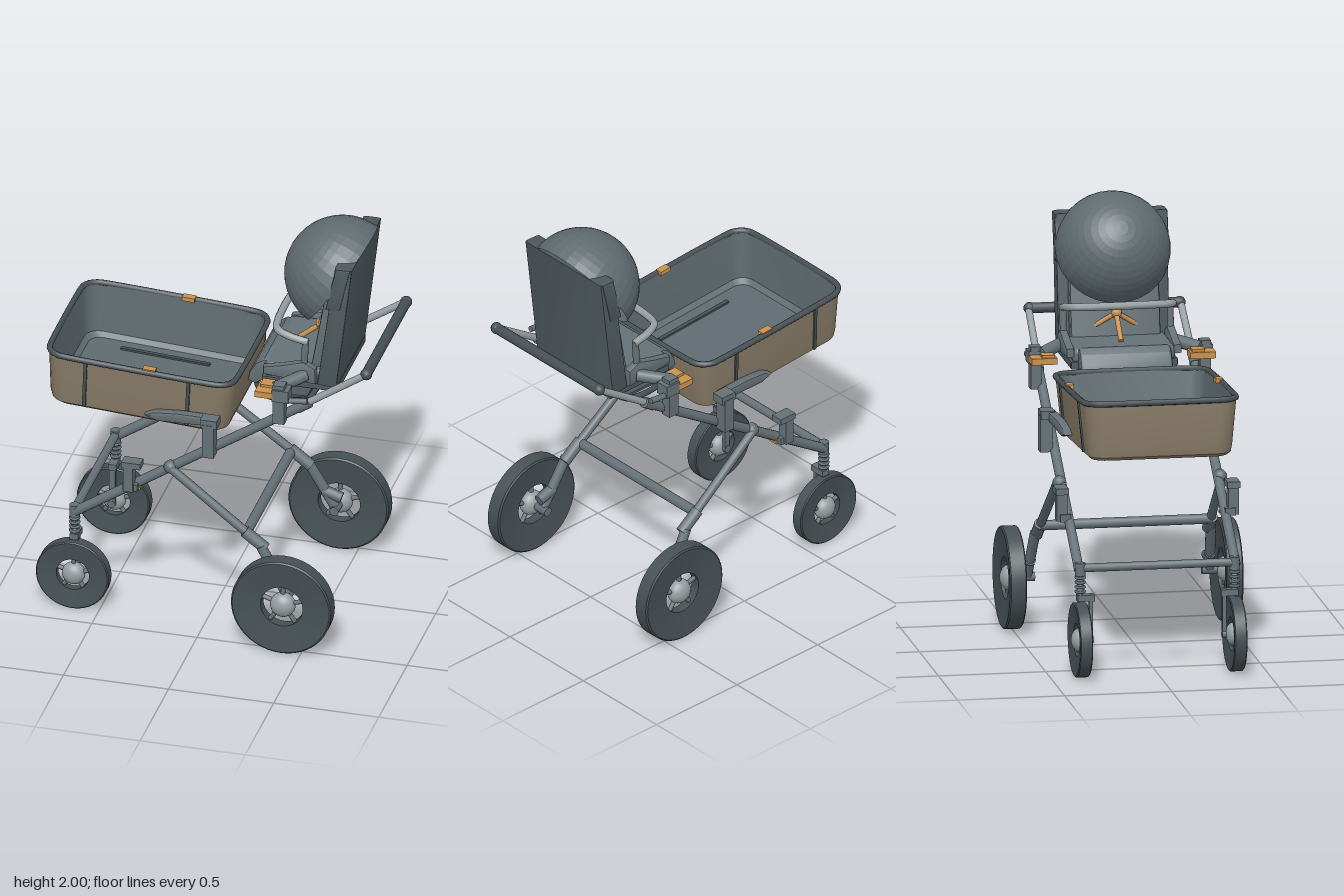
import * as THREE from 'three';
import { toCreasedNormals } from 'three/addons/utils/BufferGeometryUtils.js';
import { RoundedBoxGeometry } from 'three/addons/geometries/RoundedBoxGeometry.js';

const mat = (name, color, side = THREE.FrontSide) => {
  const m = new THREE.MeshStandardMaterial({ color, side });
  m.name = name;
  return m;
};
const V = (x, y, z) => new THREE.Vector3(x, y, z);

export function createModel() {
  const slate = mat('slate frame', 0x657177);
  const dark = mat('dark rubber', 0x465054);
  const fabric = mat('canopy fabric', 0x5f6b70, THREE.DoubleSide);
  const panel = mat('backrest shell', 0x4e595d);
  const tan = mat('tan tray cloth', 0x8a7d69);
  const silver = mat('silver metal', 0x979fa2);
  const orange = mat('orange trim', 0xc8924e);

  const root = new THREE.Group();
  root.name = 'stroller';

  // ---- helpers ----
  const add = (name, geo, material, pos = [0, 0, 0], parent = root) => {
    const m = new THREE.Mesh(geo, material);
    m.name = name;
    m.position.set(...pos);
    parent.add(m);
    return m;
  };
  const rod = (name, a, b, r, material, parent = root, r2 = r) => {
    const A = V(...a), B = V(...b), d = B.clone().sub(A);
    const m = add(name, new THREE.CylinderGeometry(r2, r, d.length(), 14), material,
      A.clone().add(B).multiplyScalar(0.5).toArray(), parent);
    m.quaternion.setFromUnitVectors(V(0, 1, 0), d.normalize());
    return m;
  };
  const box = (name, size, pos, material, parent = root) =>
    add(name, new THREE.BoxGeometry(...size), material, pos, parent);
  // side profile in x,y extruded across z
  const slab = (name, pts, width, z, material, bevel = 0.01) => {
    const shape = new THREE.Shape(pts.map(p => new THREE.Vector2(...p)));
    const g = new THREE.ExtrudeGeometry(shape, {
      depth: width - 2 * bevel, bevelEnabled: bevel > 0, bevelSize: bevel,
      bevelThickness: bevel, bevelOffset: -bevel, bevelSegments: 2,
    });
    g.translate(0, 0, -width / 2 + bevel);
    return add(name, toCreasedNormals(g, 0.6), material, [0, 0, z]);
  };
  const tube = (name, pts, r, material, closed = false, parent = root) => add(name,
    new THREE.TubeGeometry(new THREE.CatmullRomCurve3(pts, closed), pts.length * 6, r, 8, closed), material, [0, 0, 0], parent);

  // ---- wheels ----
  const wheel = (name, x, y, z, R, hole, w, hub) => {
    const g = new THREE.Group();
    g.name = name;
    g.position.set(x, y, z);
    root.add(g);
    const h = w / 2;
    const profile = [[hole, -h * 0.6], [R * 0.97, -h], [R, -h * 0.85], [R, h * 0.85],
      [R * 0.97, h], [hole, h * 0.6], [hole, -h * 0.6]].map(p => new THREE.Vector2(...p));
    const tyre = toCreasedNormals(new THREE.LatheGeometry(profile, 48), 0.5);
    add('tyre', tyre, dark, [0, 0, 0], g).rotation.x = Math.PI / 2;
    add('hub', new THREE.SphereGeometry(hub, 20, 14), silver, [0, 0, 0], g).scale.z = 0.8;
    for (let i = 0; i < 5; i++) {
      const a = i / 5 * Math.PI * 2 + 0.3;
      rod('spoke', [0, 0, 0], [Math.cos(a) * (hole + 0.01), Math.sin(a) * (hole + 0.01), 0], 0.011, slate, g);
    }
  };

  for (const s of [1, -1]) {
    const z = v => v * s;
    wheel('frontWheel', -0.625, 0.173, z(0.36), 0.173, 0.078, 0.06, 0.055);
    wheel('rearWheel', 0.41, 0.238, z(0.505), 0.238, 0.1, 0.08, 0.06);

    // front suspension and single-sided fork
    rod('frontStrut', [-0.62, 0.38, z(0.36)], [-0.62, 0.5, z(0.36)], 0.014, silver);
    for (let i = 0; i < 4; i++) {
      const ring = add('springCoil', new THREE.TorusGeometry(0.02, 0.007, 6, 14), slate, [-0.62, 0.4 + i * 0.022, z(0.36)]);
      ring.rotation.x = Math.PI / 2;
    }
    add('frameCap', new THREE.CylinderGeometry(0.024, 0.024, 0.06, 14), slate, [-0.62, 0.505, z(0.36)]);
    box('forkCrown', [0.04, 0.03, 0.08], [-0.62, 0.37, z(0.335)], slate);
    box('forkBlade', [0.028, 0.21, 0.018], [-0.622, 0.27, z(0.311)], slate);
    rod('frontAxle', [-0.625, 0.173, z(0.3)], [-0.625, 0.173, z(0.36)], 0.018, slate);

    // main rails and rear legs
    rod('mainRail', [-0.62, 0.5, z(0.365)], [0.47, 1.222, z(0.365)], 0.023, slate);
    rod('handleTube', [0.45, 1.21, z(0.362)], [0.765, 1.42, z(0.355)], 0.017, silver);
    rod('tubeCollar', [0.44, 1.202, z(0.365)], [0.5, 1.242, z(0.365)], 0.026, slate);
    rod('rearLeg', [-0.16, 0.81, z(0.385)], [0.28, 0.475, z(0.4)], 0.021, slate);
    rod('legSocket', [0.2, 0.535, z(0.4)], [0.3, 0.46, z(0.4)], 0.028, slate);
    rod('rearSuspension', [0.28, 0.475, z(0.41)], [0.405, 0.25, z(0.425)], 0.024, slate);
    rod('shockAbsorber', [0.35, 0.33, z(0.42)], [0.44, 0.3, z(0.42)], 0.026, slate);
    rod('rearAxle', [0.41, 0.238, z(0.39)], [0.41, 0.238, z(0.5)], 0.022, slate);
    add('legPivot', new THREE.SphereGeometry(0.032, 14, 10), slate, [-0.16, 0.81, z(0.375)]);

    // forward rail bracket
    box('frontBracketPost', [0.045, 0.13, 0.05], [-0.35, 0.74, z(0.4)], slate);
    box('frontBracketTop', [0.09, 0.03, 0.06], [-0.335, 0.815, z(0.4)], slate);
    box('frontBracketFoot', [0.07, 0.035, 0.05], [-0.345, 0.69, z(0.385)], slate);
    box('bracketTab', [0.03, 0.012, 0.045], [-0.315, 0.678, z(0.365)], orange);

    // tray bracket with tapered side arm
    box('trayBracket', [0.055, 0.17, 0.06], [0.033, 1.0, z(0.405)], slate);
    box('trayBracketCap', [0.08, 0.04, 0.065], [0.035, 1.09, z(0.4)], slate);
    const arm = slab('traySideArm', [[-0.29, 1.06], [-0.22, 1.04], [0.03, 1.06], [0.07, 1.075],
      [0.06, 1.105], [0, 1.105], [-0.12, 1.1], [-0.24, 1.085]], 0.045, z(0.375), slate);
    arm.rotation.y = -0.08 * s;
    arm.position.z = z(0.375);

    // seat mount
    box('seatMount', [0.055, 0.2, 0.05], [0.365, 1.235, z(0.395)], slate);
    box('seatMountCap', [0.08, 0.06, 0.07], [0.375, 1.285, z(0.395)], slate);
    box('releaseLever', [0.085, 0.03, 0.12], [0.297, 1.283, z(0.37)], orange);
    box('leverPad', [0.06, 0.014, 0.06], [0.297, 1.303, z(0.35)], orange);
    rod('mountPin', [0.4, 1.26, z(0.41)], [0.5, 1.27, z(0.41)], 0.014, slate);
    rod('mountArm', [0.34, 1.3, z(0.375)], [0.45, 1.32, z(0.26)], 0.03, slate);
    slab('seatHinge', [[0.25, 1.3], [0.5, 1.28], [0.5, 1.36], [0.44, 1.39], [0.34, 1.36], [0.25, 1.34]], 0.04, z(0.25), slate);
    rod('barPost', [0.44, 1.35, z(0.25)], [0.45, 1.5, z(0.25)], 0.016, slate);

    // harness shoulder and hip straps
    rod('shoulderStrap', [0.53, 1.66, z(0.08)], [0.455, 1.46, z(0.012)], 0.011, orange);
    rod('hipStrap', [0.455, 1.45, z(0.01)], [0.5, 1.35, z(0.16)], 0.011, orange);

    // canopy joints on the backrest
    slab('canopyJoint', [[0.545, 1.68], [0.615, 1.68], [0.665, 1.9], [0.595, 1.9]], 0.05, z(0.24), panel);
  }
  add('harnessBuckle', new THREE.SphereGeometry(0.025, 12, 8), orange, [0.455, 1.455, 0]);
  rod('crotchStrap', [0.455, 1.45, 0], [0.33, 1.35, 0], 0.012, orange);

  // ---- cross bars and handle ----
  rod('frontCrossBar', [-0.62, 0.51, -0.36], [-0.62, 0.51, 0.36], 0.02, slate);
  rod('rearCrossBar', [0.205, 0.525, -0.4], [0.205, 0.525, 0.4], 0.024, slate);
  rod('handleGrip', [0.765, 1.42, -0.355], [0.765, 1.42, 0.355], 0.025, dark);
  for (const s of [1, -1]) add('gripEnd', new THREE.SphereGeometry(0.028, 14, 10), dark, [0.765, 1.42, 0.35 * s]);

  // ---- cargo tray: stacked rounded-rectangle sections ----
  const ring = (y, hx, hz, r) => {
    const out = [];
    for (let c = 0; c < 4; c++) for (let i = 0; i <= 5; i++) {
      const t = (c + i / 5) * Math.PI / 2;
      const sx = c === 0 || c === 3 ? 1 : -1, sz = c < 2 ? 1 : -1;
      out.push(V(sx * (hx - r) + r * Math.cos(t), y, sz * (hz - r) + r * Math.sin(t)));
    }
    return out;
  };
  const shell = (rings, inward) => {
    const n = rings[0].length, pts = rings.flat(), idx = [];
    const tri = (a, b, c) => inward ? idx.push(a, c, b) : idx.push(a, b, c);
    pts.push(V(0, rings[0][0].y, 0));
    for (let j = 0; j < n; j++) {
      const k = (j + 1) % n;
      tri(pts.length - 1, j, k);
      for (let i = 0; i < rings.length - 1; i++) {
        const a = i * n + j, b = i * n + k;
        tri(a, a + n, b);
        tri(b, a + n, b + n);
      }
    }
    const g = new THREE.BufferGeometry().setFromPoints(pts);
    g.setIndex(idx);
    return toCreasedNormals(g, 0.6);
  };
  const tray = new THREE.Group();
  tray.name = 'cargoTray';
  tray.position.set(-0.318, 1.283, 0);
  tray.rotation.z = -0.06;
  root.add(tray);
  add('trayOuter', shell([ring(-0.27, 0.4, 0.315, 0.07), ring(-0.255, 0.42, 0.332, 0.08),
    ring(-0.22, 0.43, 0.338, 0.085), ring(0, 0.445, 0.358, 0.085)], false), tan, [0, 0, 0], tray);
  add('trayLining', shell([ring(-0.255, 0.385, 0.3, 0.06), ring(-0.235, 0.408, 0.322, 0.07),
    ring(0, 0.434, 0.347, 0.08)], true), fabric, [0, 0, 0], tray);
  tube('trayRim', ring(0, 0.443, 0.356, 0.085), 0.014, dark, true, tray);
  for (const s of [1, -1]) {
    box('floorSlot', [0.425, 0.009, 0.02], [-0.015, -0.25, 0.23 * s], dark, tray);
    box('rimClip', [0.06, 0.02, 0.035], [0.05, 0.008, 0.348 * s], orange, tray);
    for (const x of [-0.25, 0.24]) {
      const seam = box('traySeam', [0.016, 0.25, 0.009], [x, -0.125, 0.35 * s], dark, tray);
      seam.rotation.x = 0.09 * s;
    }
  }

  // ---- seat ----
  slab('backrestShell', [[0.505, 1.275], [0.597, 1.27], [0.672, 1.9], [0.59, 1.9]], 0.52, 0, panel, 0.008);
  slab('backCushion', [[0.46, 1.33], [0.53, 1.33], [0.6, 1.84], [0.55, 1.84]], 0.42, 0, slate, 0.015);
  add('seatCushion', new RoundedBoxGeometry(0.34, 0.08, 0.48, 3, 0.03), slate, [0.41, 1.305, 0]);
  slab('seatPan', [[0.24, 1.245], [0.6, 1.245], [0.6, 1.28], [0.24, 1.28]], 0.5, 0, panel, 0.006);
  slab('legRest', [[0.16, 1.225], [0.2, 1.21], [0.27, 1.26], [0.33, 1.28], [0.33, 1.34],
    [0.24, 1.345], [0.2, 1.32], [0.17, 1.27]], 0.43, 0, slate, 0.015);
  const footLoop = [[0.25, 1.25, 0.19], [0.2, 1.22, 0.19], [0.24, 1.145, 0.185], [0.42, 1.14, 0.18], [0.44, 1.14, 0.15]];
  tube('footrestLoop', [...footLoop.map(p => V(...p)), ...footLoop.slice().reverse().map(([x, y, z]) => V(x, y, -z))], 0.014, dark);
  box('footrestPlate', [0.19, 0.014, 0.34], [0.34, 1.15, 0], panel);

  // bumper bar
  tube('bumperBar', [V(0.46, 1.49, 0.25), V(0.37, 1.51, 0.25), V(0.31, 1.522, 0.225), V(0.29, 1.525, 0.15),
    V(0.29, 1.525, -0.15), V(0.31, 1.522, -0.225), V(0.37, 1.51, -0.25), V(0.46, 1.49, -0.25)], 0.018, silver);

  // half-dome canopy with faceted panels
  const dome = new THREE.SphereGeometry(0.268, 32, 12, 0, Math.PI * 2, 0, Math.PI / 2).toNonIndexed();
  dome.computeVertexNormals();
  const canopy = add('canopy', dome, fabric, [0.557, 1.733, 0]);
  canopy.quaternion.setFromUnitVectors(V(0, 1, 0), V(-0.83, 0.56, 0).normalize());

  return root;
}
